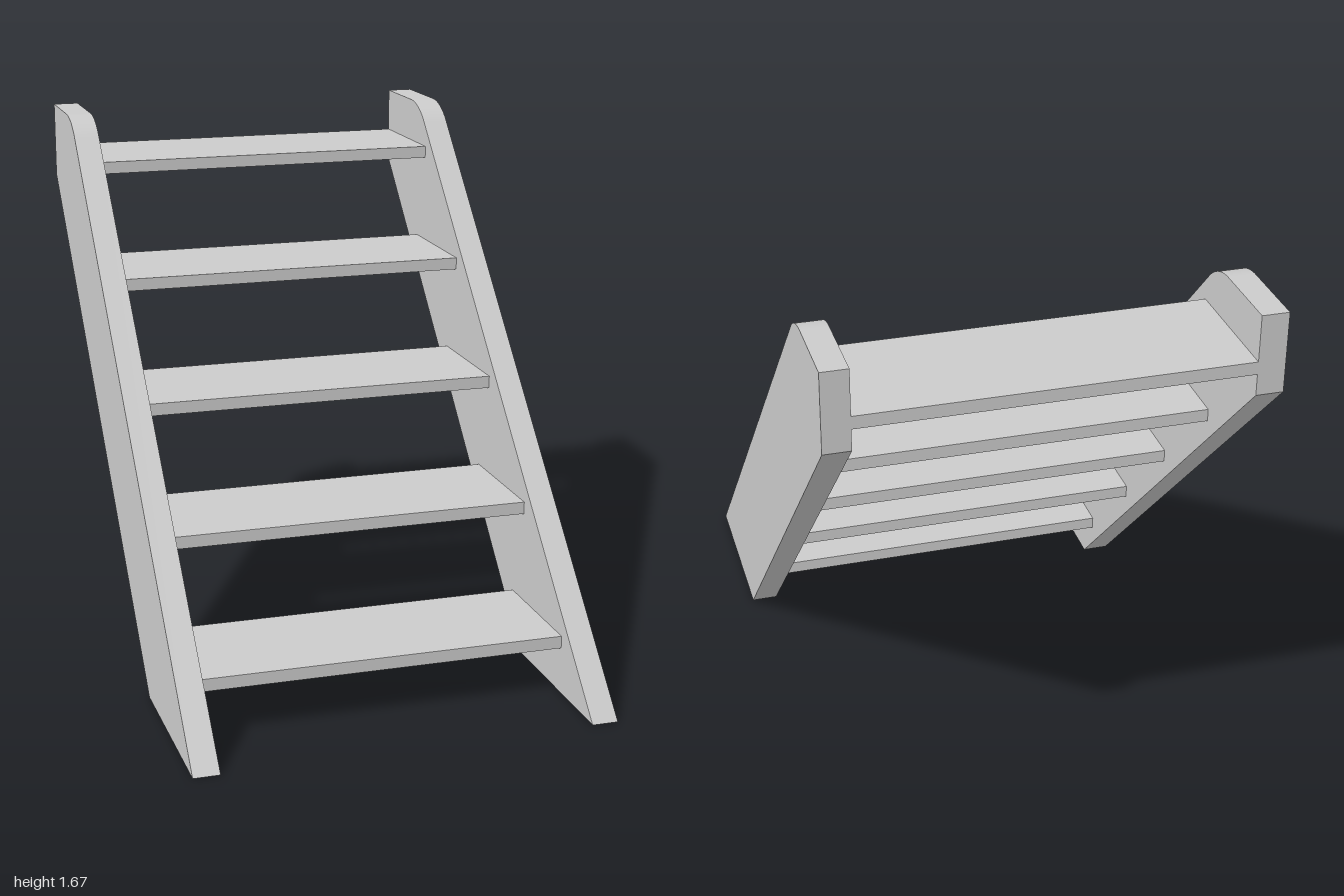
import * as THREE from 'three';

const WIDTH = 4 / 3, HEIGHT = 5 / 3, BOARD = 1 / 12;
const TREADS = 5, RISE = HEIGHT / TREADS, TREAD_DEPTH = 0.411, TREAD_THICK = 0.04;

export function createModel() {
  const group = new THREE.Group();
  group.name = 'openStair';
  const material = new THREE.MeshStandardMaterial({ color: 0xcccccc });

  // Side board profile: shape x is depth (z), shape y is height
  const radius = 0.2;
  const profile = new THREE.Shape();
  profile.moveTo(0.415, 0);
  profile.lineTo(1, 0);
  profile.absarc(-0.75, HEIGHT - radius, radius, Math.PI / 4, Math.PI / 2, false);
  profile.lineTo(-1, HEIGHT);
  profile.lineTo(-1, 1.415);
  profile.closePath();

  const boardGeometry = new THREE.ExtrudeGeometry(profile, {
    depth: BOARD, bevelEnabled: false, curveSegments: 10,
  });
  boardGeometry.translate(0, 0, -BOARD / 2);
  boardGeometry.rotateY(-Math.PI / 2);

  // Two mirrored stringers
  for (const side of [1, -1]) {
    const stringer = new THREE.Mesh(boardGeometry, material);
    stringer.name = side > 0 ? 'leftStringer' : 'rightStringer';
    stringer.position.x = side * (WIDTH - BOARD) / 2;
    group.add(stringer);
  }

  // Evenly spaced treads, the top one flush with the back
  const treadGeometry = new THREE.BoxGeometry(WIDTH - 2 * BOARD, TREAD_THICK, TREAD_DEPTH);
  for (let i = 0; i < TREADS; i++) {
    const tread = new THREE.Mesh(treadGeometry, material);
    tread.name = `tread${i + 1}`;
    tread.position.set(0, RISE * (i + 0.5) + 0.002, -1 + TREAD_DEPTH / 2 + RISE * (TREADS - 1 - i));
    group.add(tread);
  }
  return group;
}
